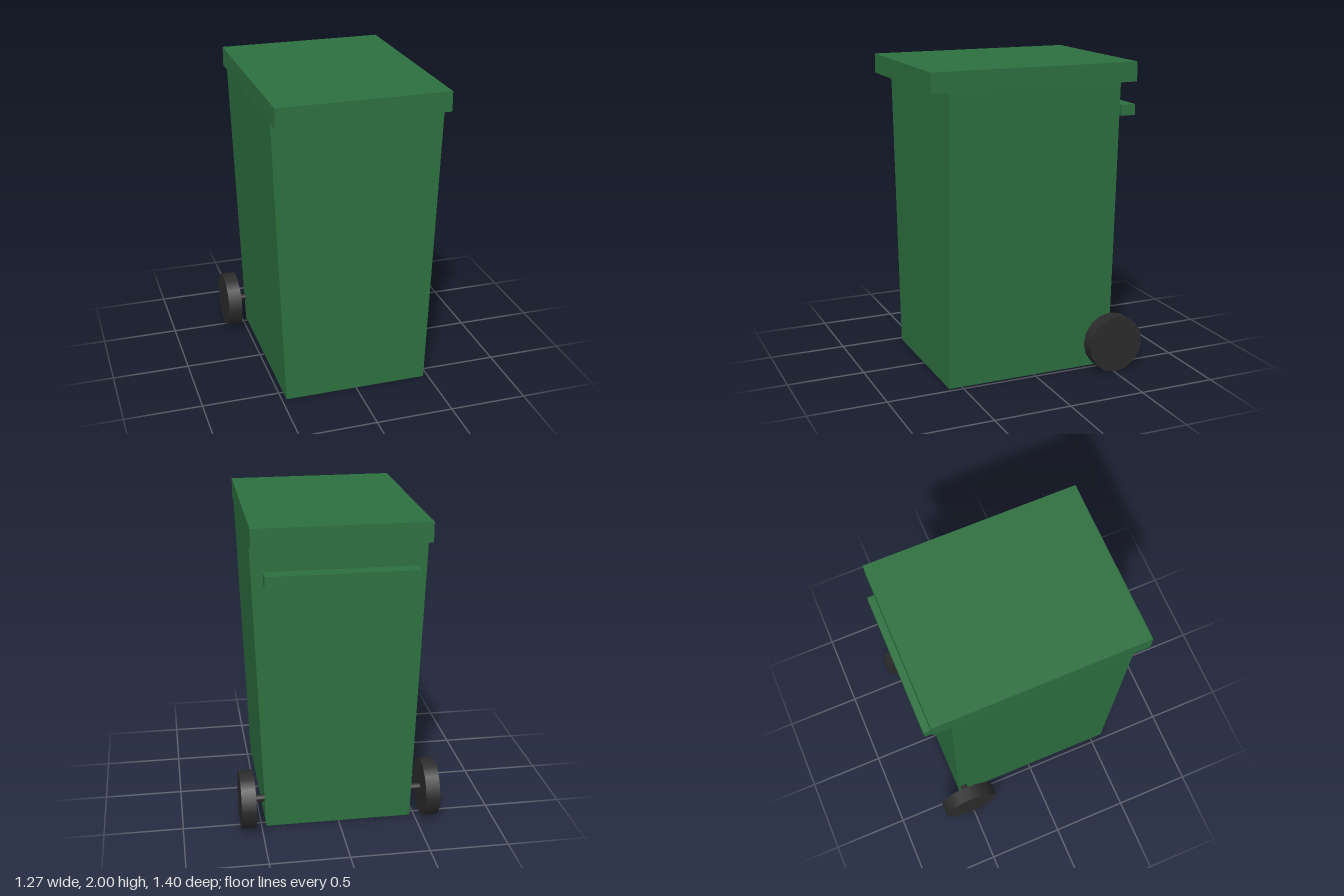
import * as THREE from 'three';

export function createModel() {
  const green = new THREE.MeshStandardMaterial({ color: 0x2d7040 });
  green.name = 'bin green';
  const black = new THREE.MeshStandardMaterial({ color: 0x2b2b2b });
  black.name = 'rubber black';

  const model = new THREE.Group();
  model.name = 'wheeledBin';
  const add = (name, geometry, material, x, y, z) => {
    const mesh = new THREE.Mesh(geometry, material);
    mesh.name = name;
    mesh.position.set(x, y, z);
    model.add(mesh);
    return mesh;
  };

  // Body: a box that narrows towards the base
  const bodyHeight = 1.875;
  const body = new THREE.BoxGeometry(1.08, bodyHeight, 1.14);
  const p = body.attributes.position;
  for (let i = 0; i < p.count; i++) {
    if (p.getY(i) < 0) {
      p.setX(i, p.getX(i) * 0.87);
      p.setZ(i, p.getZ(i) * 0.99);
    }
  }
  body.computeVertexNormals();
  add('body', body, green, 0, bodyHeight / 2, 0.02);

  // Overhanging lid and rear push bar
  add('lid', new THREE.BoxGeometry(1.08, 0.125, 1.365), green, 0, 1.9375, 0.0175);
  add('handle', new THREE.BoxGeometry(0.93, 0.07, 0.095), green, 0, 1.686, -0.6525);

  // Axle and wheels
  const wheelY = 0.1875, wheelZ = -0.5125;
  add('axle', new THREE.CylinderGeometry(0.022, 0.022, 1.1, 12), black, 0, wheelY, wheelZ).rotation.z = Math.PI / 2;
  const wheel = new THREE.CylinderGeometry(0.1875, 0.1875, 0.092, 16);
  for (const side of [1, -1]) {
    add(side > 0 ? 'leftWheel' : 'rightWheel', wheel, black, side * 0.588, wheelY, wheelZ).rotation.z = Math.PI / 2;
  }
  return model;
}
